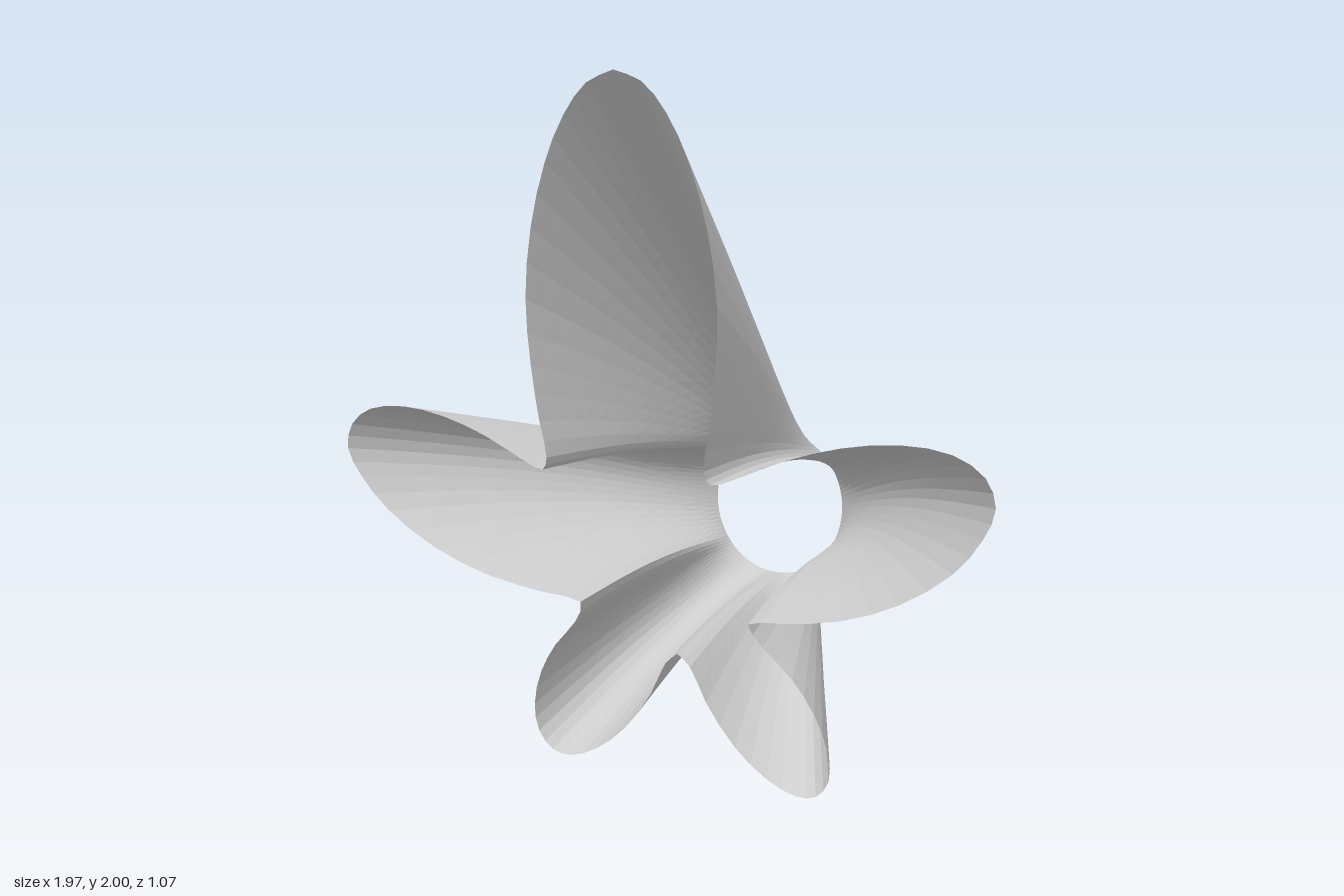
import * as THREE from 'three';

const SUB = 2;      // samples per outline point
const ROWS = 16;    // sections from the back ring to the flared rim
const RING = { x: 0.22, y: 0.235, cy: 0.685, z: -0.535 };

// Left half of the flared rim, from the top tip to the bottom valley
const HALF_RIM = [
  [0, 2.0, 0.535], [0.08, 1.97, 0.534], [0.15, 1.89, 0.532], [0.21, 1.77, 0.529],
  [0.26, 1.60, 0.524], [0.284, 1.41, 0.518], [0.275, 1.23, 0.511], [0.255, 1.08, 0.505], [0.237, 0.98, 0.5],
  [0.253, 0.945, 0.495],                                                              // upper valley
  [0.32, 0.965, 0.488], [0.45, 1.02, 0.475], [0.6, 1.063, 0.46], [0.75, 1.08, 0.445],
  [0.88, 1.063, 0.43], [0.96, 1.01, 0.417], [0.985, 0.935, 0.408], [0.95, 0.85, 0.393],
  [0.87, 0.75, 0.372], [0.72, 0.645, 0.348], [0.55, 0.575, 0.322], [0.38, 0.54, 0.3],
  [0.265, 0.52, 0.283],                                                               // lower valley
  [0.30, 0.45, 0.257], [0.38, 0.365, 0.238], [0.44, 0.27, 0.224], [0.475, 0.16, 0.208],
  [0.472, 0.07, 0.19], [0.43, 0.015, 0.182], [0.37, 0.005, 0.18], [0.28, 0.04, 0.18],
  [0.18, 0.12, 0.182], [0.09, 0.24, 0.185], [0.04, 0.34, 0.188],
  [0, 0.375, 0.19],                                                                   // bottom valley
];

// Ring angle (degrees from the top) reached at each valley
const ANCHORS = [[0, 0], [9, 45], [22, 124], [34, 180]];

function ringAngle(index) {
  for (let k = 1; k < ANCHORS.length; k++) {
    const [i0, a0] = ANCHORS[k - 1], [i1, a1] = ANCHORS[k];
    if (index <= i1) return THREE.MathUtils.degToRad(a0 + (a1 - a0) * (index - i0) / (i1 - i0));
  }
  return Math.PI;
}

// Closed list of matching rim points and ring points
function makeRails() {
  const curve = new THREE.CatmullRomCurve3(HALF_RIM.map((p) => new THREE.Vector3(...p)));
  const last = HALF_RIM.length - 1;
  const count = last * SUB;
  const half = [];
  for (let i = 0; i <= count; i++) {
    const a = ringAngle(i / SUB);
    half.push({
      rim: curve.getPoint(i / count),
      ring: new THREE.Vector3(RING.x * Math.sin(a), RING.cy + RING.y * Math.cos(a), RING.z),
    });
  }
  const flip = (v) => new THREE.Vector3(-v.x, v.y, v.z);
  const other = half.slice(1, -1).reverse().map((r) => ({ rim: flip(r.rim), ring: flip(r.ring) }));
  return [...half, ...other];
}

// Skin from the round back opening to the five-petal rim, bowed slightly upward
function makeSkin() {
  const rails = makeRails();
  const n = rails.length;
  const positions = [];
  const indices = [];
  const p = new THREE.Vector3();
  for (let r = 0; r <= ROWS; r++) {
    const t = r / ROWS;
    for (const { ring, rim } of rails) {
      p.lerpVectors(ring, rim, t);
      positions.push(p.x, p.y + 0.025 * Math.sin(Math.PI * t), p.z);
    }
  }
  for (let r = 0; r < ROWS; r++) {
    for (let i = 0; i < n; i++) {
      const j = (i + 1) % n;
      const a = r * n + i, b = r * n + j, c = a + n, d = b + n;
      indices.push(a, c, b, b, c, d);
    }
  }
  const geometry = new THREE.BufferGeometry();
  geometry.setAttribute('position', new THREE.Float32BufferAttribute(positions, 3));
  geometry.setIndex(indices);
  geometry.computeVertexNormals();
  return geometry;
}

export function createModel() {
  const grey = new THREE.MeshStandardMaterial({ color: 0xcccccc, side: THREE.DoubleSide, flatShading: true });
  grey.name = 'light grey';
  const group = new THREE.Group();
  group.name = 'petalFunnel';
  const skin = new THREE.Mesh(makeSkin(), grey);
  skin.name = 'petalSkin';
  group.add(skin);
  return group;
}
